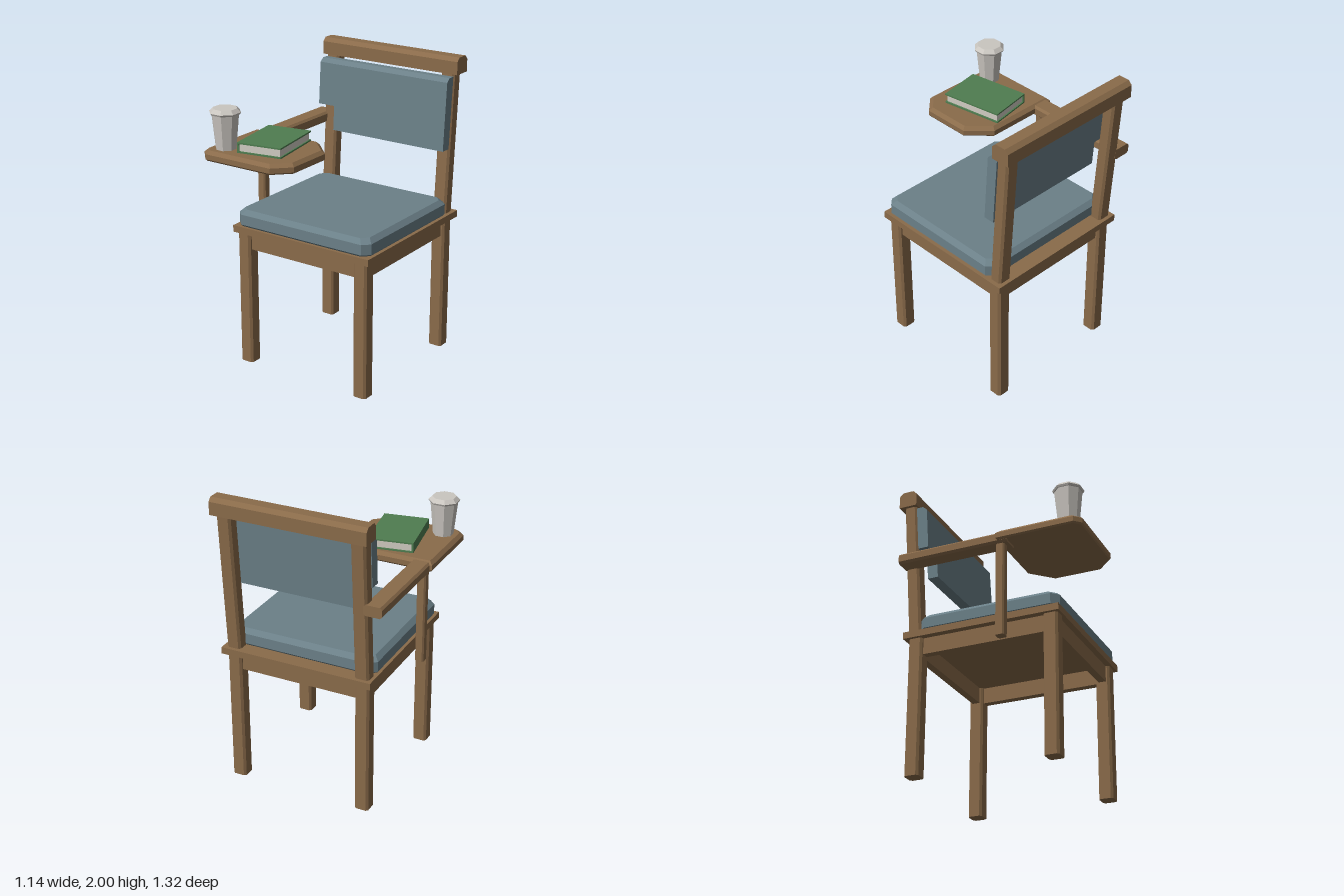
import * as THREE from 'three';

const mat = (name, color) => Object.assign(new THREE.MeshStandardMaterial({ color }), { name });

// Convex outline of [x, z] points stacked in layers of [height, inset]
function loft(outline, layers) {
  const area = THREE.ShapeUtils.area(outline.map(([x, y]) => ({ x, y })));
  const pts = area > 0 ? [...outline].reverse() : outline;
  const xs = pts.map(p => p[0]), zs = pts.map(p => p[1]);
  const mid = a => (Math.min(...a) + Math.max(...a)) / 2;
  const half = a => (Math.max(...a) - Math.min(...a)) / 2;
  const cx = mid(xs), cz = mid(zs), hx = half(xs), hz = half(zs);
  const rings = layers.map(([y, inset]) => pts.map(([x, z]) =>
    [cx + (x - cx) * (1 - inset / hx), y, cz + (z - cz) * (1 - inset / hz)]));
  const pos = [], n = pts.length;
  const tri = (a, b, c) => pos.push(...a, ...b, ...c);
  for (let r = 0; r < rings.length - 1; r++) {
    for (let i = 0; i < n; i++) {
      const j = (i + 1) % n, lo = rings[r], hi = rings[r + 1];
      tri(lo[i], lo[j], hi[j]);
      tri(lo[i], hi[j], hi[i]);
    }
  }
  const bottom = rings[0], top = rings[rings.length - 1];
  for (let i = 1; i < n - 1; i++) {
    tri(top[0], top[i], top[i + 1]);
    tri(bottom[0], bottom[i + 1], bottom[i]);
  }
  const g = new THREE.BufferGeometry();
  g.setAttribute('position', new THREE.Float32BufferAttribute(pos, 3));
  g.computeVertexNormals();
  return g;
}

// Rectangle with clipped corners
function clipped(x0, x1, z0, z1, c) {
  return [[x0 + c, z0], [x1 - c, z0], [x1, z0 + c], [x1, z1 - c],
    [x1 - c, z1], [x0 + c, z1], [x0, z1 - c], [x0, z0 + c]];
}

// [z, y] profile swept along x
const alongX = (profile, x0, x1) =>
  loft(profile.map(([z, y]) => [-y, z]), [[x0, 0], [x1, 0]]).rotateZ(-Math.PI / 2);

// Octagon with flat sides facing the axes, sized by half width
const octagon = a => clipped(-a, a, -a, a, a * (1 - Math.tan(Math.PI / 8)));

export function createModel() {
  const root = new THREE.Group();
  root.name = 'tabletArmChair';
  const wood = mat('wood', 0x8a6b4a);
  const fabric = mat('blueGreyFabric', 0x6b8088);
  const green = mat('greenCover', 0x4f7d50);
  const paper = mat('paper', 0xd0ccc2);
  const cupGrey = mat('cupGrey', 0xcac6c0);

  const add = (name, geo, material, parent = root) => {
    const m = new THREE.Mesh(geo, material);
    m.name = name;
    parent.add(m);
    return m;
  };
  const box = (name, x0, x1, y0, y1, z0, z1, material, parent) =>
    add(name, new THREE.BoxGeometry(x1 - x0, y1 - y0, z1 - z0)
      .translate((x0 + x1) / 2, (y0 + y1) / 2, (z0 + z1) / 2), material, parent);

  // Legs and leaning back posts
  for (const [side, x] of [['right', -0.405], ['left', 0.492]]) {
    for (const [end, z] of [['Front', 0.407], ['Back', -0.518]]) {
      add(`${side}${end}Leg`, loft(clipped(x - 0.048, x + 0.048, z - 0.048, z + 0.048, 0.014),
        [[0, 0], [0.916, 0]]), wood);
    }
    const post = add(`${side}BackPost`, loft(clipped(-0.048, 0.048, -0.044, 0.044, 0.014),
      [[-0.02, 0], [0.96, 0]]), wood);
    post.position.set(x, 0.95, -0.525);
    post.rotation.x = -0.067;
    box(`${side}Apron`, x - 0.025, x + 0.025, 0.805, 0.916, -0.475, 0.365, wood);
  }
  box('frontApron', -0.36, 0.447, 0.805, 0.916, 0.382, 0.432, wood);
  box('backApron', -0.36, 0.447, 0.805, 0.916, -0.543, -0.493, wood);

  // Seat board and cushion
  box('seatBoard', -0.475, 0.567, 0.915, 0.96, -0.595, 0.472, wood);
  add('seatCushion', loft(clipped(-0.463, 0.552, -0.5, 0.46, 0.045),
    [[0.96, 0.01], [0.972, 0], [1.04, 0], [1.07, 0.03]]), fabric);

  // Top rail with clipped upper edges
  add('topRail', alongX([[-0.535, 1.89], [-0.535, 1.975], [-0.56, 2],
    [-0.635, 2], [-0.66, 1.975], [-0.66, 1.89]], -0.475, 0.567), wood);

  // Backrest pad, cut short where the arm passes
  const lean = y => -0.436 - (y - 1.4) * 0.069;
  const pad = y0 => [[lean(y0), y0], [lean(1.85), 1.85], [lean(1.85) - 0.03, 1.875],
    [-0.542, 1.875], [lean(y0) - 0.073, y0]];
  add('backrestPad', alongX(pad(1.4), -0.325, 0.536), fabric);
  add('backrestPadArmSide', alongX(pad(1.565), -0.45, -0.325), fabric);

  // Arm and its support
  const arm = add('arm', loft(clipped(-0.062, 0.062, -0.036, 0.036, 0.014),
    [[0, 0], [0.765, 0]]).rotateX(Math.PI / 2), wood);
  arm.position.set(-0.492, 1.456, -0.605);
  add('armSupport', loft(clipped(-0.536, -0.476, 0.075, 0.135, 0.01),
    [[0.79, 0], [1.43, 0]]), wood);

  // Writing tablet
  add('writingTablet', loft([[-0.57, 0.09], [-0.06, 0.09], [0.08, 0.23], [0.08, 0.555],
    [-0.025, 0.66], [-0.525, 0.66], [-0.57, 0.615]],
  [[1.435, 0.008], [1.445, 0], [1.478, 0], [1.5, 0.022]]), wood);

  // Book
  const book = new THREE.Group();
  book.name = 'book';
  book.position.set(-0.224, 1.5, 0.347);
  book.rotation.y = 0.17;
  root.add(book);
  box('bottomCover', -0.151, 0.151, 0, 0.01, -0.209, 0.209, green, book);
  box('topCover', -0.151, 0.151, 0.058, 0.068, -0.209, 0.209, green, book);
  box('spine', -0.151, -0.139, 0.01, 0.058, -0.209, 0.209, green, book);
  box('pages', -0.139, 0.141, 0.01, 0.058, -0.199, 0.199, paper, book);

  // Cup with lid
  const cup = new THREE.Group();
  cup.name = 'cup';
  cup.position.set(-0.455, 1.5, 0.543);
  root.add(cup);
  add('cupBody', loft(octagon(0.083), [[0, 0.021], [0.228, 0]]), cupGrey, cup);
  add('cupLid', loft(octagon(0.095), [[0.226, 0.006], [0.238, 0], [0.262, 0.022]]), cupGrey, cup);

  return root;
}
